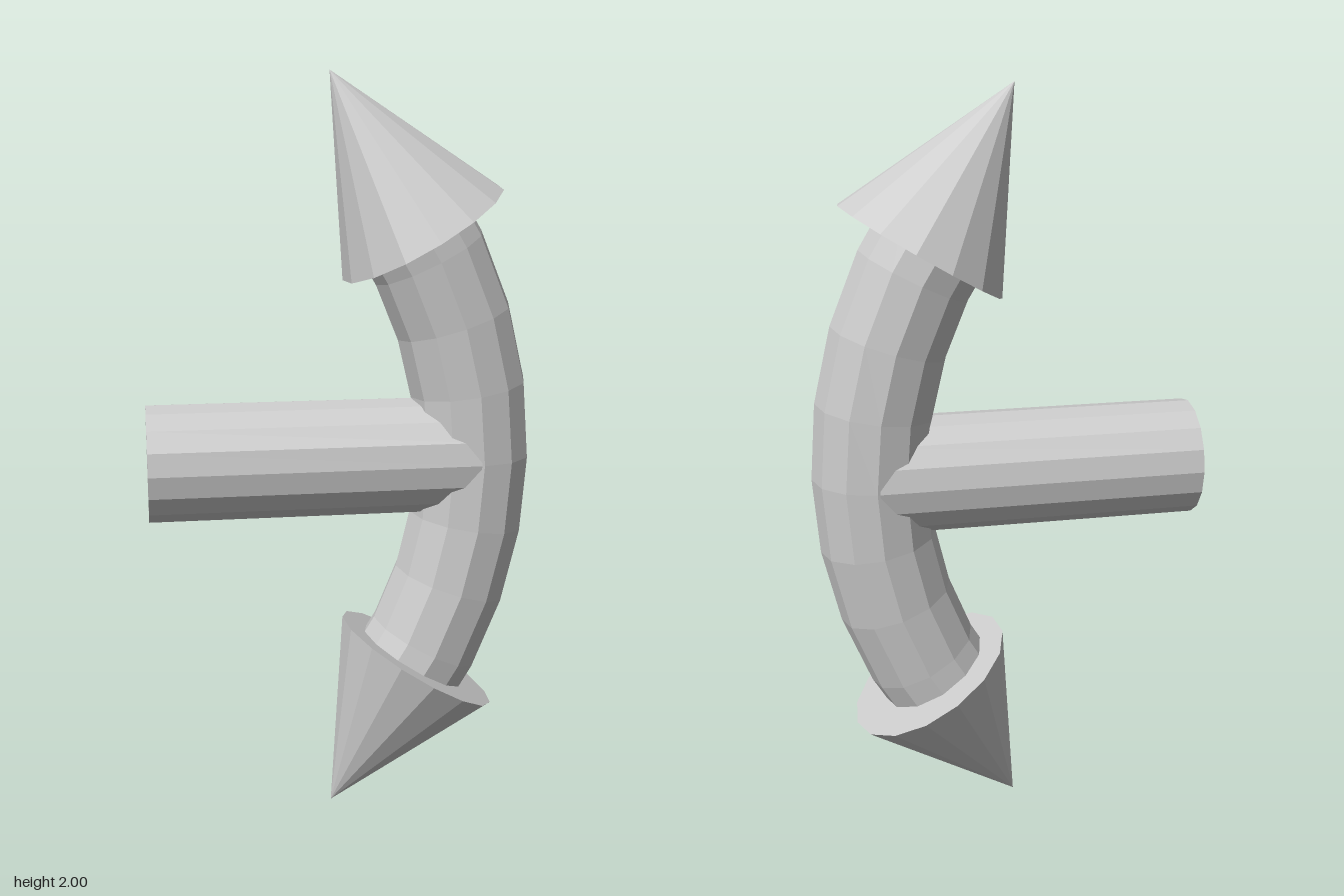
import * as THREE from 'three';

export function createModel() {
  const group = new THREE.Group();
  const material = new THREE.MeshStandardMaterial({ color: 0xcccccc, flatShading: true });
  const add = (name, geometry) => {
    const mesh = new THREE.Mesh(geometry, material);
    mesh.name = name;
    group.add(mesh);
    return mesh;
  };

  const axisZ = 0.008;      // shaft centre line is slightly forward
  const radius = 0.156;     // shared by bow and stem
  const bowRadius = 1.18;
  const bowX = 0.357;       // bow centre line at mid height

  // Curved bow; its ends are hidden inside the arrowheads
  const halfArc = THREE.MathUtils.degToRad(35.5);
  const bowGeometry = new THREE.TorusGeometry(bowRadius, radius, 12, 8, halfArc * 2);
  bowGeometry.rotateZ(-halfArc);
  add('curvedBow', bowGeometry).position.set(bowX - bowRadius, 1, axisZ);

  // Straight stem running from the left end into the bow
  const stemStart = -0.515, stemEnd = 0.35;
  const stemGeometry = new THREE.CylinderGeometry(radius, radius, stemEnd - stemStart, 16);
  stemGeometry.rotateZ(Math.PI / 2);
  add('stem', stemGeometry).position.set((stemStart + stemEnd) / 2, 1, axisZ);

  // Arrowheads, mirrored about mid height, with origin at the base centre
  const headHeight = 0.478;
  const headGeometry = new THREE.ConeGeometry(0.24, headHeight, 15);
  headGeometry.translate(0, headHeight / 2, 0);
  const lean = THREE.MathUtils.degToRad(30.8);
  for (const side of [1, -1]) {
    const head = add(side > 0 ? 'upperArrowhead' : 'lowerArrowhead', headGeometry);
    head.position.set(0.215, 1 + side * 0.59, -0.002);
    head.rotation.set(side * 0.034, 0, side > 0 ? lean : Math.PI - lean);
  }

  return group;
}
